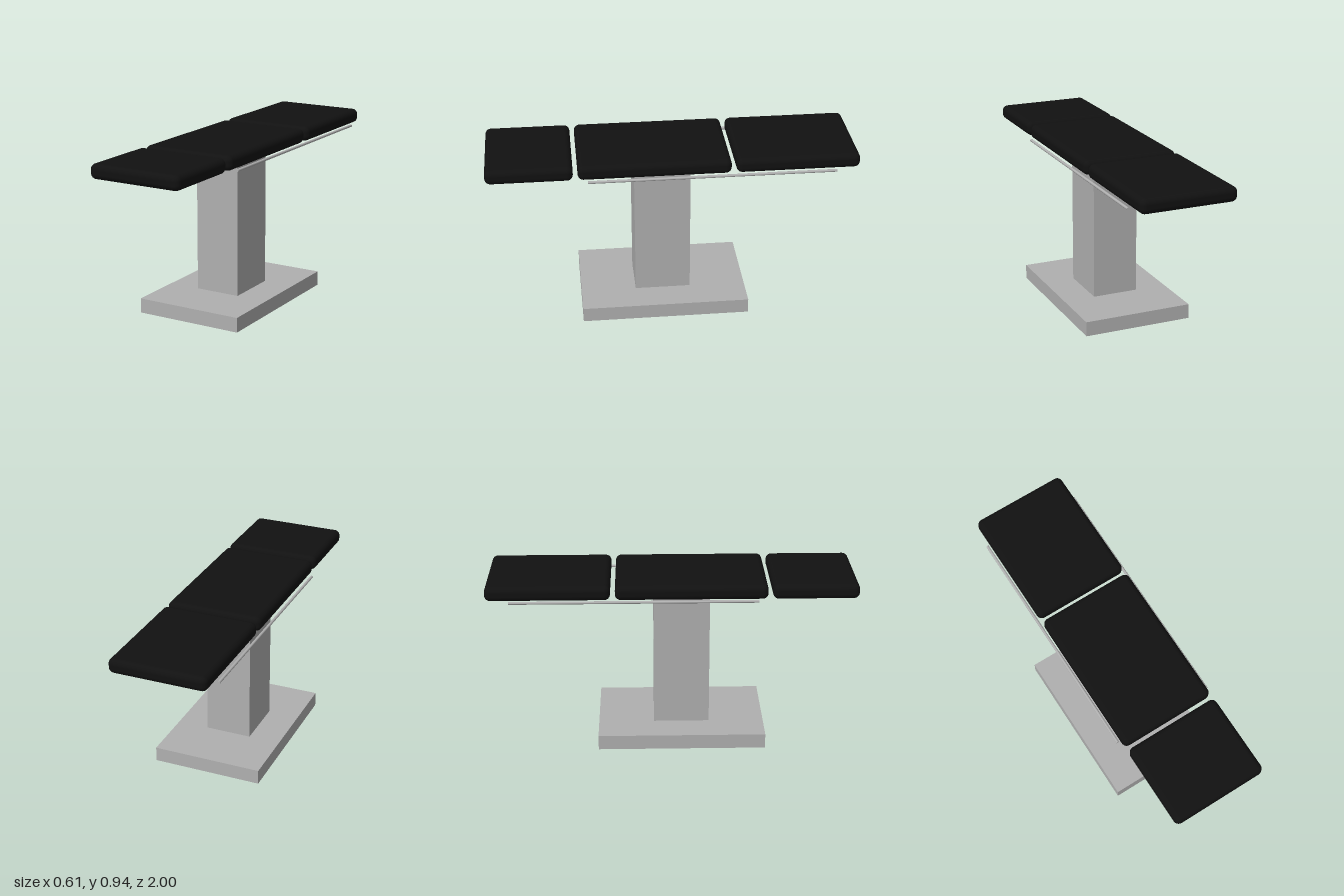
import * as THREE from 'three';
import { RoundedBoxGeometry } from 'three/addons/geometries/RoundedBoxGeometry.js';

export function createModel() {
  const model = new THREE.Group();
  model.name = 'operatingTable';

  const steel = new THREE.MeshStandardMaterial({ color: 0xb0b0b0 });
  steel.name = 'brushed steel';
  const vinyl = new THREE.MeshStandardMaterial({ color: 0x111111 });
  vinyl.name = 'black vinyl';

  function add(name, geometry, material, x, y, z) {
    const mesh = new THREE.Mesh(geometry, material);
    mesh.name = name;
    mesh.position.set(x, y, z);
    model.add(mesh);
    return mesh;
  }

  // Floor plate and square pedestal
  add('base', new THREE.BoxGeometry(0.614, 0.082, 0.922), steel, 0, 0.041, 0.051);
  add('column', new THREE.BoxGeometry(0.258, 0.766, 0.307), steel, 0, 0.465, 0.053);

  // Three padded sections: name, back z, front z
  const cushions = [
    ['headCushion', 0.537, 1],
    ['seatCushion', -0.307, 0.512],
    ['legCushion', -1, -0.333],
  ];
  for (const [name, back, front] of cushions) {
    const pad = new RoundedBoxGeometry(0.533, 0.081, front - back, 5, 0.031);
    add(name, pad, vinyl, 0, 0.9045, (back + front) / 2);
  }

  // Thin accessory rails along both sides
  for (const side of [-1, 1]) {
    const rail = new THREE.CylinderGeometry(0.0077, 0.0077, 1.33, 16);
    rail.rotateX(Math.PI / 2);
    add(side > 0 ? 'leftRail' : 'rightRail', rail, steel, side * 0.277, 0.864, -0.205);
  }

  return model;
}
